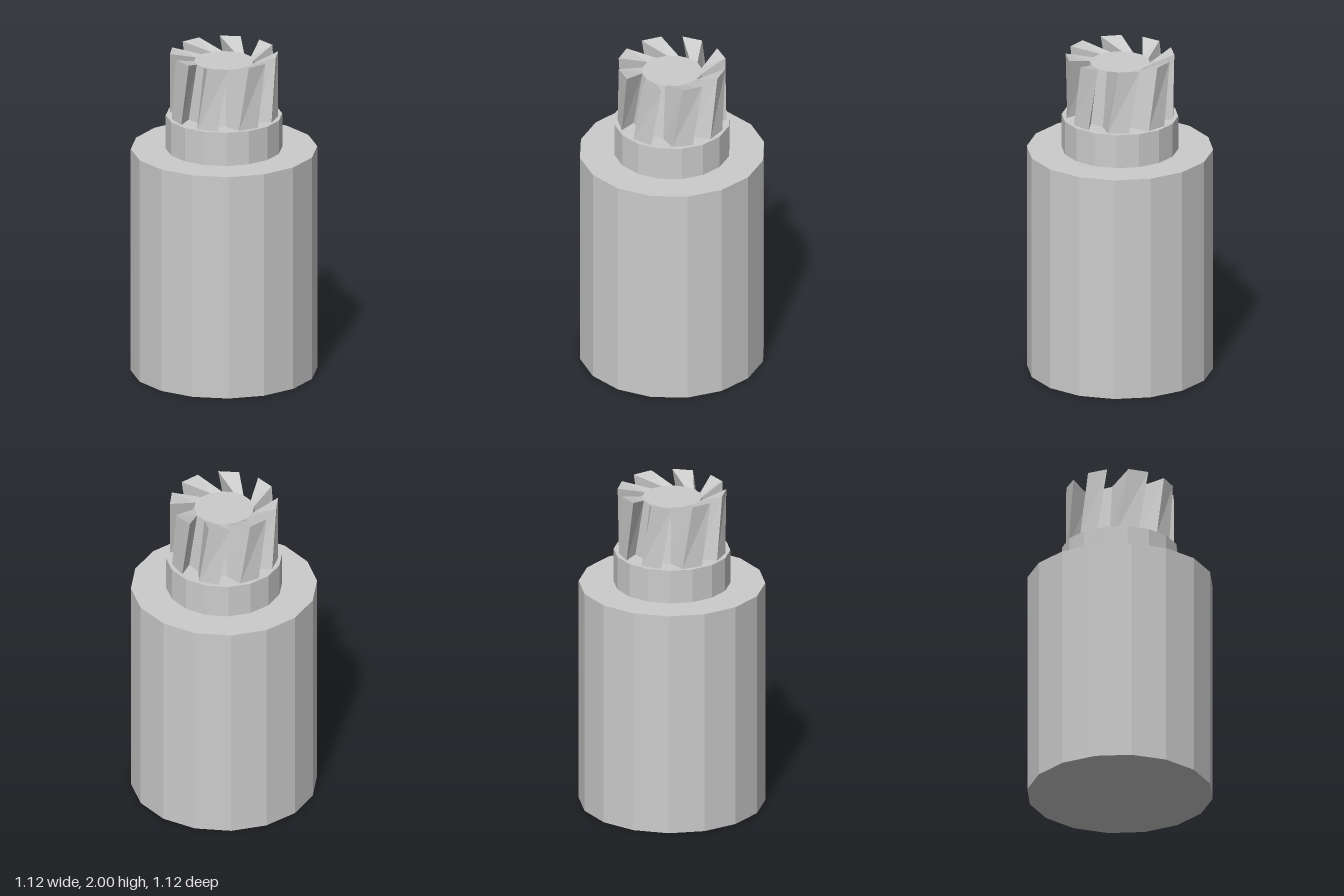
import * as THREE from 'three';

const material = new THREE.MeshStandardMaterial({ color: 0xcccccc, flatShading: true });

function part(name, geometry, y = 0) {
  const mesh = new THREE.Mesh(geometry, material);
  mesh.name = name;
  mesh.position.y = y;
  return mesh;
}

// Point at an angle (degrees, clockwise from the back as seen from above)
function polar(r, deg, y) {
  const a = THREE.MathUtils.degToRad(deg);
  return [r * Math.sin(a), y, -r * Math.cos(a)];
}

// Fluted cutter: swept-back twisted teeth around a tapering core
function cutterGeometry(teeth = 8) {
  const base = 1.61, hub = 1.95, tip = 2, twist = 11.25;
  const top = [], bottom = [], positions = [];
  const tri = (...points) => points.forEach(p => positions.push(...p));

  // Per tooth: two outer corners, then the two ends of the flute floor
  for (let i = 0; i < teeth; i++) {
    const a = i * 360 / teeth;
    for (const deg of [-24.2, -1.8]) {
      top.push(polar(0.326, a + deg, tip));
      bottom.push(polar(0.326, a + deg + twist, base));
    }
    for (const deg of [22.5, 45]) {
      top.push(polar(0.18, a + deg, hub));
      bottom.push(polar(0.234, a + deg, base));
    }
  }

  // Side walls
  const n = top.length;
  for (let i = 0; i < n; i++) {
    const j = (i + 1) % n;
    tri(bottom[i], top[i], bottom[j]);
    tri(top[i], top[j], bottom[j]);
  }

  // Sloping tooth tops and the sunken flat hub
  const centre = [0, hub, 0];
  for (let i = 0; i < n; i += 4) {
    const [a, b, c, d] = top.slice(i, i + 4);
    const prev = top[(i + n - 1) % n];
    tri(prev, c, b);
    tri(prev, b, a);
    tri(centre, c, prev);
    tri(centre, d, c);
  }

  const geometry = new THREE.BufferGeometry();
  geometry.setAttribute('position', new THREE.Float32BufferAttribute(positions, 3));
  geometry.computeVertexNormals();
  return geometry;
}

export function createModel() {
  const model = new THREE.Group();
  model.name = 'flutedCutter';
  model.add(
    part('body', new THREE.CylinderGeometry(0.56, 0.56, 1.4, 16), 0.7),
    part('collar', new THREE.CylinderGeometry(0.35, 0.35, 0.21, 16), 1.505),
    part('cutterTeeth', cutterGeometry())
  );
  return model;
}
